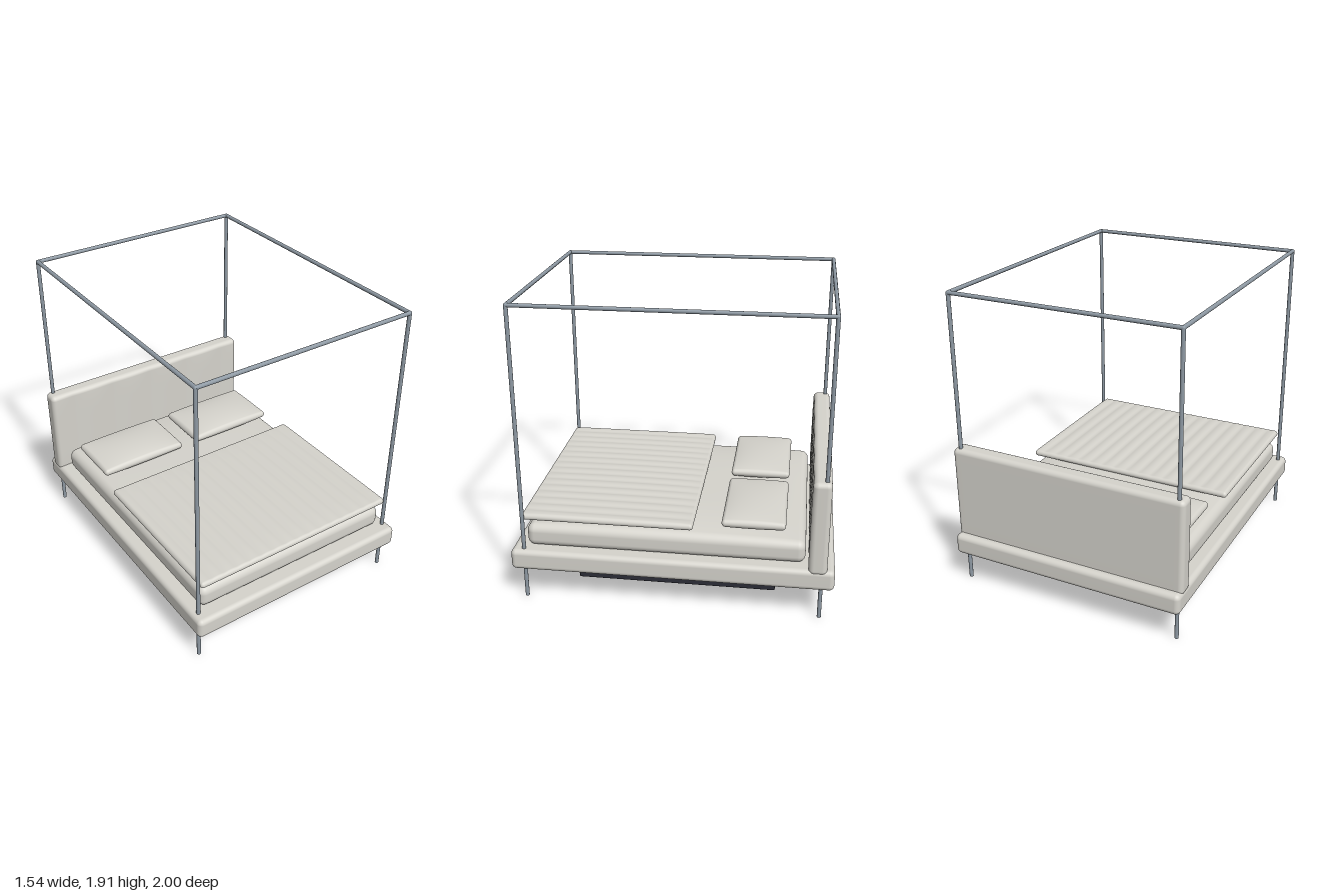
import * as THREE from 'three';
import { mergeVertices } from 'three/addons/utils/BufferGeometryUtils.js';

const fabric = new THREE.MeshStandardMaterial({ color: 0xd5d3cc });
fabric.name = 'fabric';
const metal = new THREE.MeshStandardMaterial({ color: 0x8e99a3 });
metal.name = 'metal';
const dark = new THREE.MeshStandardMaterial({ color: 0x2c2d37 });
dark.name = 'darkPlinth';

const K = 4; // segments across each rounded edge

// Rounded box with evenly divided faces; shape(p, u, v, w) may move each vertex,
// where u, v, w run from -1 to 1 over the box.
function softBox(size, r, divisions, shape) {
  const n = divisions.map((d) => d + 2 * K);
  const geo = new THREE.BoxGeometry(1, 1, 1, ...n);
  const pos = geo.attributes.position;
  const half = size.map((s) => s / 2);
  const p = new THREE.Vector3();
  for (let i = 0; i < pos.count; i++) {
    const core = [], off = [];
    [pos.getX(i), pos.getY(i), pos.getZ(i)].forEach((c, a) => {
      const k = Math.round((c + 0.5) * n[a]);
      const inner = half[a] - r;
      if (k <= K) {
        core[a] = -inner;
        off[a] = -Math.tan((1 - k / K) * Math.PI / 4);
      } else if (k >= n[a] - K) {
        core[a] = inner;
        off[a] = Math.tan((1 - (n[a] - k) / K) * Math.PI / 4);
      } else {
        core[a] = -inner + (2 * inner * (k - K)) / divisions[a];
        off[a] = 0;
      }
    });
    p.fromArray(off).normalize().multiplyScalar(r);
    p.x += core[0];
    p.y += core[1];
    p.z += core[2];
    if (shape) shape(p, p.x / half[0], p.y / half[1], p.z / half[2]);
    pos.setXYZ(i, p.x, p.y, p.z);
  }
  geo.deleteAttribute('uv');
  geo.deleteAttribute('normal');
  const merged = mergeVertices(geo, 1e-5);
  merged.computeVertexNormals();
  return merged;
}

// Bulge that is 1 in the middle and falls to 0 at the border
const dome = (u, w, power) =>
  Math.max(0, 1 - Math.abs(u) ** power) * Math.max(0, 1 - Math.abs(w) ** power);

export function createModel() {
  const bed = new THREE.Group();
  bed.name = 'canopyBed';

  function add(name, geo, material, x, y, z) {
    const mesh = new THREE.Mesh(geo, material);
    mesh.name = name;
    mesh.position.set(x, y, z);
    bed.add(mesh);
    return mesh;
  }

  // Plinth under the bed and upholstered base
  add('plinth', softBox([0.96, 0.16, 1.28], 0.006, [1, 1, 1]), dark, 0, 0.083, 0);
  add('base', softBox([1.54, 0.135, 2], 0.032, [4, 1, 4]), fabric, 0, 0.273, 0);

  // Headboard with vertical channels on its front
  const panel = 0.308;
  add('headboard', softBox([1.54, 0.61, 0.11], 0.0308, [48, 8, 1], (p, u, v, w) => {
    if (w <= 0) return;
    const fade = 1 - Math.abs(v) ** 8;
    p.z += 0.007 * w * fade * (Math.abs(Math.sin((Math.PI * p.x) / panel)) - 0.3);
  }), fabric, 0, 0.615, -0.897);

  // Mattress with a crowned top
  add('mattress', softBox([1.4, 0.145, 1.73], 0.048, [20, 1, 20], (p, u, v, w) => {
    p.y += 0.042 * Math.max(0, v) * dome(u, w, 4);
  }), fabric, 0, 0.4125, 0.045);

  // Quilted blanket with channels running along the bed
  const channel = 0.09;
  add('blanket', softBox([1.42, 0.04, 1.07], 0.02, [92, 1, 16], (p, u, v, w) => {
    const fade = 1 - Math.abs(w) ** 12;
    const ridge = 0.008 * Math.abs(Math.sin((Math.PI * p.x) / channel));
    if (v > 0) p.y += v * fade * (ridge - 0.002);
    p.y += 0.006 * dome(u, w, 2);
  }), fabric, 0, 0.545, 0.4);

  // Pillows
  const pillow = softBox([0.61, 0.044, 0.39], 0.022, [20, 1, 16], (p, u, v, w) => {
    p.y += 0.03 * v * dome(u, w, 2) ** 0.7;
  });
  for (const side of [-1, 1]) {
    add(side > 0 ? 'leftPillow' : 'rightPillow', pillow, fabric, side * 0.36, 0.563, -0.5);
  }

  // Canopy posts and rails
  const R = 0.0125, px = 0.727, pz = 0.92, top = 1.897;
  const post = new THREE.CylinderGeometry(R, R, top, 14);
  const crossRail = new THREE.CylinderGeometry(R, R, 2 * px, 14).rotateZ(Math.PI / 2);
  const sideRail = new THREE.CylinderGeometry(R, R, 2 * pz, 14).rotateX(Math.PI / 2);
  const joint = new THREE.SphereGeometry(R, 14, 8);
  for (const s of [-1, 1]) {
    add(s > 0 ? 'frontRail' : 'backRail', crossRail, metal, 0, top, s * pz);
    add(s > 0 ? 'leftRail' : 'rightRail', sideRail, metal, s * px, top, 0);
    for (const t of [-1, 1]) {
      add('post', post, metal, s * px, top / 2, t * pz);
      add('postJoint', joint, metal, s * px, top, t * pz);
    }
  }

  return bed;
}
